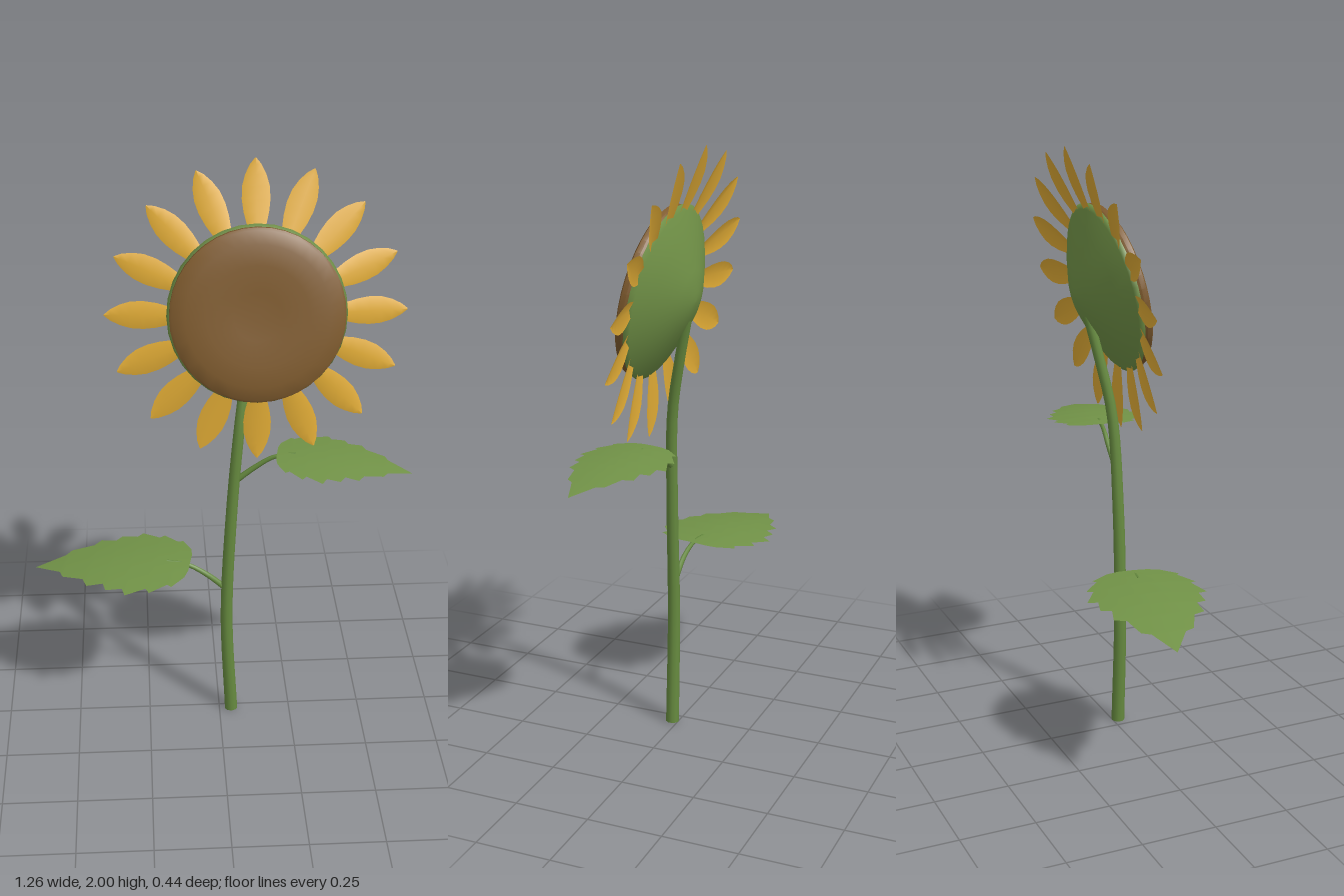
import * as THREE from 'three';
import { toCreasedNormals } from 'three/addons/utils/BufferGeometryUtils.js';

const green = new THREE.MeshStandardMaterial({ name: 'leafGreen', color: 0x719247, side: THREE.DoubleSide });
const stemGreen = new THREE.MeshStandardMaterial({ name: 'stemGreen', color: 0x668a3f });
const gold = new THREE.MeshStandardMaterial({ name: 'petalGold', color: 0xe0ab35, side: THREE.DoubleSide });
const brown = new THREE.MeshStandardMaterial({ name: 'seedBrown', color: 0x7f5b2e });

function add(parent, name, geometry, material) {
  const mesh = new THREE.Mesh(geometry, material);
  mesh.name = name;
  parent.add(mesh);
  return mesh;
}

// Tube along a smooth path whose radius tapers from r0 to r1
function taperedTube(points, segments, sides, r0, r1) {
  const curve = new THREE.CatmullRomCurve3(points.map(p => new THREE.Vector3(...p)));
  const geo = new THREE.TubeGeometry(curve, segments, r0, sides);
  const pos = geo.attributes.position, v = new THREE.Vector3();
  for (let i = 0; i < pos.count; i++) {
    const t = Math.floor(i / (sides + 1)) / segments;
    const c = curve.getPointAt(t);
    v.fromBufferAttribute(pos, i).sub(c).multiplyScalar(1 + (r1 / r0 - 1) * t).add(c);
    pos.setXYZ(i, v.x, v.y, v.z);
  }
  return geo;
}

// Surface from rows of points; point(row, u) with u running from -1 to 1
function sheet(rows, cols, point) {
  const pos = [], index = [];
  rows.forEach((row, r) => {
    for (let c = 0; c <= cols; c++) {
      pos.push(...point(row, c / cols * 2 - 1));
      if (r && c) {
        const d = r * (cols + 1) + c, b = d - cols - 1;
        index.push(b - 1, b, d, b - 1, d, d - 1);
      }
    }
  });
  const geo = new THREE.BufferGeometry();
  geo.setAttribute('position', new THREE.Float32BufferAttribute(pos, 3));
  geo.setIndex(index);
  geo.computeVertexNormals();
  return geo;
}

// Toothed leaf running along +x, arching down to its tip: [distance, half width]
function leafGeometry() {
  const rows = [[0, 0.05], [0.008, 0.09], [0.045, 0.148], [0.06, 0.138], [0.115, 0.185], [0.13, 0.165],
    [0.195, 0.2], [0.21, 0.168], [0.265, 0.174], [0.28, 0.14], [0.335, 0.148], [0.355, 0.11],
    [0.43, 0.085], [0.445, 0.055], [0.543, 0]];
  return sheet(rows, 4, ([x, w], u) => {
    const t = x / 0.543;
    return [x, 0.03 * t - 0.09 * t * t - 0.45 * (w * u) ** 2, -w * u];
  });
}

// Pointed petal growing outward along +y, folded along its middle: [radius, half width]
function petalGeometry() {
  const rows = [[0.23, 0.018], [0.28, 0.03], [0.32, 0.04], [0.36, 0.045], [0.4, 0.043],
    [0.435, 0.033], [0.465, 0.018], [0.485, 0.002]];
  return sheet(rows, 2, ([r, w], u) => [
    w * u, r, -0.03 - 0.045 * (r - 0.23) / 0.255 - 0.25 * w * Math.abs(u)]);
}

// Turned shape whose axis points to +z
function turned(profile, sides) {
  const geo = new THREE.LatheGeometry(profile.map(p => new THREE.Vector2(...p)), sides);
  return geo.rotateX(Math.PI / 2);
}

export function createModel() {
  const model = new THREE.Group();
  model.name = 'flower';

  // Stem with a closed foot
  add(model, 'stem', taperedTube([[0.042, 0, 0.02], [0.025, 0.4, 0.021], [0.04, 0.8, 0.02],
    [0.065, 1.12, 0.008], [0.09, 1.32, -0.03], [0.105, 1.45, -0.06]], 24, 10, 0.023, 0.017), stemGreen);
  const foot = add(model, 'stemFoot', new THREE.CircleGeometry(0.023, 10), stemGreen);
  foot.rotation.x = Math.PI / 2;
  foot.position.set(0.042, 0.001, 0.02);

  // Leaf stalks
  add(model, 'lowerLeafStalk', taperedTube([[0.026, 0.51, 0.02], [-0.05, 0.575, 0.018],
    [-0.11, 0.607, 0.01], [-0.18, 0.615, -0.003]], 12, 7, 0.011, 0.006), stemGreen);
  add(model, 'upperLeafStalk', taperedTube([[0.052, 0.935, 0.016], [0.12, 0.99, 0.02],
    [0.18, 1.03, 0.028], [0.25, 1.045, 0.04]], 12, 7, 0.011, 0.006), stemGreen);

  // Leaves
  const leaf = leafGeometry();
  const lower = add(model, 'lowerLeaf', leaf, green);
  lower.position.set(-0.1, 0.616, 0.01);
  lower.rotation.y = Math.PI - 0.17;
  const upper = add(model, 'upperLeaf', leaf, green);
  upper.position.set(0.19, 1.046, 0.03);
  upper.rotation.y = -0.17;
  upper.scale.setScalar(0.82);

  // Flower head, tilted upward
  const head = new THREE.Group();
  head.name = 'flowerHead';
  head.position.set(0.12, 1.54, 0.042);
  head.rotation.x = -0.205;
  model.add(head);

  // Green cup behind, seed disc in front
  add(head, 'cup', turned([[0, -0.142], [0.035, -0.14], [0.1, -0.122], [0.2, -0.08],
    [0.27, -0.045], [0.288, -0.032], [0.27, -0.028]], 32), green);
  add(head, 'seedDisc', toCreasedNormals(turned([[0.2, -0.032], [0.272, -0.032], [0.28, -0.02],
    [0.28, -0.004], [0.272, 0.002], [0.23, 0.012], [0.165, 0.018], [0.08, 0.012], [0, 0.01]], 40), 0.6), brown);

  // Ring of petals
  const petal = petalGeometry();
  for (let i = 0; i < 16; i++) {
    add(head, 'petal', petal, gold).rotation.z = i * Math.PI / 8;
  }
  return model;
}
